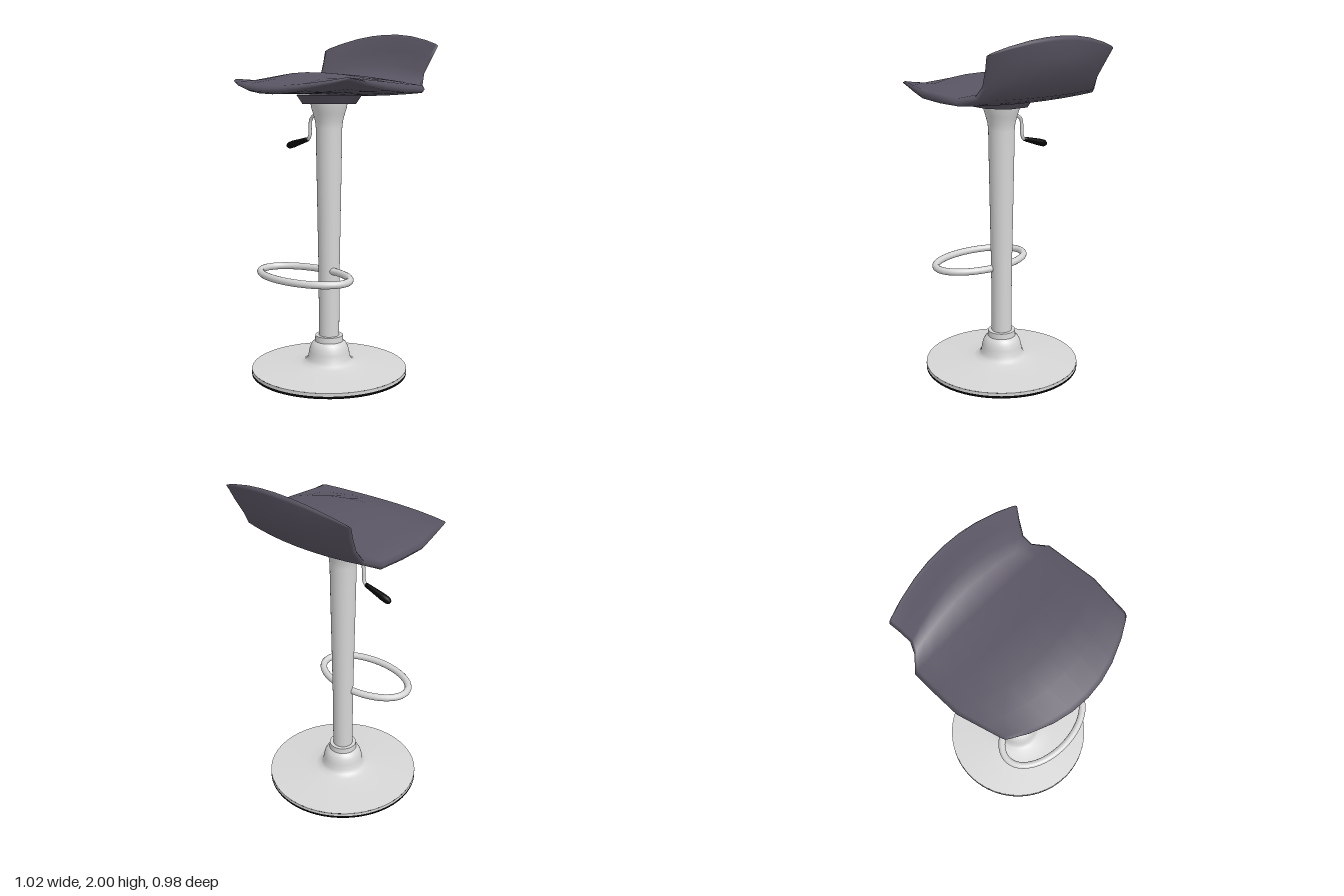
import * as THREE from 'three';

const material = (name, color) => {
  const m = new THREE.MeshStandardMaterial({ color });
  m.name = name;
  return m;
};

// Seat rows, front to back: centre z, centre y, half width, edge z, edge y, underside offset z and y
const SEAT_ROWS = [
  [0.49, 1.675, 0.445, 0.35, 1.725, -0.005, -0.02],
  [0.465, 1.69, 0.455, 0.33, 1.735, -0.005, -0.045],
  [0.33, 1.73, 0.48, 0.21, 1.72, 0, -0.085],
  [0.2, 1.765, 0.508, 0.08, 1.705, 0, -0.115],
  [0, 1.757, 0.504, -0.07, 1.695, 0, -0.117],
  [-0.21, 1.737, 0.497, -0.22, 1.69, -0.02, -0.105],
  [-0.33, 1.757, 0.43, -0.29, 1.71, -0.01, -0.085],
  [-0.39, 1.82, 0.41, -0.325, 1.765, -0.04, -0.03],
  [-0.425, 1.9, 0.428, -0.37, 1.85, -0.045, -0.015],
  [-0.46, 1.985, 0.445, -0.405, 1.915, -0.025, -0.01],
  [-0.475, 2.0, 0.438, -0.415, 1.922, -0.012, -0.012],
];

// Closed cushion shell skinned over the rows
function seatGeometry() {
  const half = [0.24, 0.48, 0.76, 0.96];
  const across = [...half.map((u) => -u).reverse(), 0, ...half];
  const m = across.length;
  const loop = [[-1, 0.5], ...across.map((u) => [u, 0]), [1, 0.5],
    ...across.map((u) => [u, 1]).reverse()];
  const n = loop.length;
  const positions = [];
  const index = [];
  for (const [zc, yc, w, ze, ye, dz, dy] of SEAT_ROWS) {
    for (const [u, t] of loop) {
      const s = u * u;
      const depth = t * (1 - 0.65 * s);
      positions.push(u * w, yc + (ye - yc) * s + dy * depth, zc + (ze - zc) * s + dz * depth);
    }
  }
  const last = SEAT_ROWS.length - 1;
  for (let i = 0; i < last; i++) {
    for (let j = 0; j < n; j++) {
      const a = i * n + j;
      const b = i * n + (j + 1) % n;
      index.push(a, b, b + n, a, b + n, a + n);
    }
  }
  // Front and back rims
  for (let k = 0; k <= m; k++) {
    const b0 = (n - k) % n;
    const b1 = n - k - 1;
    const o = last * n;
    index.push(b0, b1, k + 1, b0, k + 1, k);
    index.push(o + b0, o + k + 1, o + b1, o + b0, o + k, o + k + 1);
  }
  const g = new THREE.BufferGeometry();
  g.setAttribute('position', new THREE.Float32BufferAttribute(positions, 3));
  g.setIndex(index);
  g.computeVertexNormals();
  return g;
}

const lathe = (points) =>
  new THREE.LatheGeometry(points.map(([r, y]) => new THREE.Vector2(r, y)), 48);

export function createModel() {
  const model = new THREE.Group();
  model.name = 'barStool';
  const upholstery = material('grey upholstery', 0x5a5563);
  const metal = material('pale metal', 0xd6d6d6);
  const black = material('black rubber', 0x050505);

  const add = (parent, name, geometry, mat) => {
    const mesh = new THREE.Mesh(geometry, mat);
    mesh.name = name;
    parent.add(mesh);
    return mesh;
  };

  add(model, 'seat', seatGeometry(), upholstery);

  // Everything below the seat shares the column axis
  const stand = new THREE.Group();
  stand.name = 'stand';
  stand.position.z = 0.02;
  model.add(stand);

  // Tapered mount under the seat
  const mount = add(stand, 'seatMount', new THREE.CylinderGeometry(0.2, 0.165, 0.05, 8), upholstery);
  mount.position.y = 1.615;
  mount.rotation.y = Math.PI / 8;

  // Base
  add(stand, 'basePad', new THREE.CylinderGeometry(0.46, 0.46, 0.014, 64), black).position.y = 0.007;
  add(stand, 'baseRim', new THREE.CylinderGeometry(0.46, 0.46, 0.018, 64, 1, true), metal).position.y = 0.023;
  add(stand, 'baseDish', lathe([[0.46, 0.032], [0.35, 0.04], [0.24, 0.048], [0.17, 0.056],
    [0.14, 0.068], [0.125, 0.09], [0.12, 0.125], [0.112, 0.155], [0.1, 0.178], [0.084, 0.19]]), metal);
  add(stand, 'baseCollar', new THREE.CylinderGeometry(0.082, 0.084, 0.035, 48), metal).position.y = 0.207;

  // Column with a flared head
  add(stand, 'column', lathe([[0.06, 0.2], [0.062, 0.6], [0.068, 0.95], [0.074, 1.3],
    [0.076, 1.45], [0.08, 1.49], [0.092, 1.535], [0.103, 1.57], [0.106, 1.595]]), metal);

  // Oval footrest passing through the column
  const oval = [];
  for (let i = 0; i < 32; i++) {
    const a = (i / 32) * Math.PI * 2;
    oval.push(new THREE.Vector3(0.31 * Math.cos(a), 0.62, 0.205 + 0.185 * Math.sin(a)));
  }
  add(stand, 'footrest',
    new THREE.TubeGeometry(new THREE.CatmullRomCurve3(oval, true), 72, 0.021, 12, true), metal);

  // Height lever
  const rod = new THREE.CatmullRomCurve3([[-0.06, 1.535], [-0.11, 1.525], [-0.145, 1.5],
    [-0.153, 1.45], [-0.154, 1.41], [-0.165, 1.385], [-0.19, 1.372]]
    .map(([x, y]) => new THREE.Vector3(x, y, 0)));
  add(stand, 'leverRod', new THREE.TubeGeometry(rod, 32, 0.01, 10), metal);
  const grip = add(stand, 'leverGrip', lathe([[0, 0], [0.012, 0.002], [0.014, 0.02],
    [0.021, 0.13], [0.02, 0.165], [0.012, 0.18], [0, 0.183]]), black);
  grip.position.set(-0.17, 1.38, 0);
  grip.rotation.z = Math.PI / 2 + 0.27;

  return model;
}
